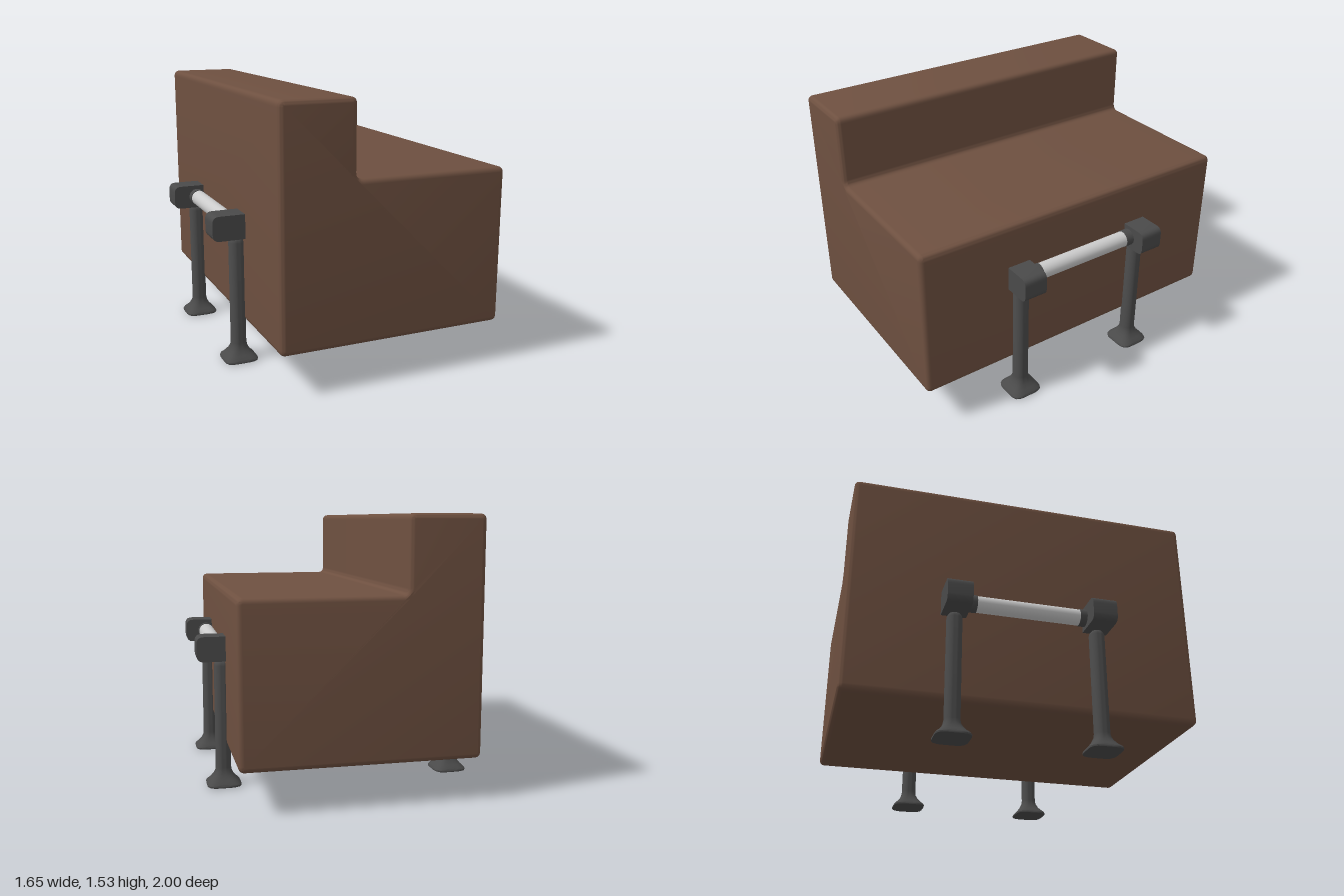
import * as THREE from 'three';
import { toCreasedNormals, mergeVertices } from 'three/addons/utils/BufferGeometryUtils.js';

const brown = new THREE.MeshStandardMaterial({ color: 0x6e5040 });
const dark = new THREE.MeshStandardMaterial({ color: 0x4a4a4a });
const grey = new THREE.MeshStandardMaterial({ color: 0xcccccc });

function add(parent, name, geometry, material, x = 0, y = 0, z = 0) {
  const mesh = new THREE.Mesh(geometry, material);
  mesh.name = name;
  mesh.position.set(x, y, z);
  parent.add(mesh);
  return mesh;
}

// Closed outline through corner points, every corner rounded by radius r
function roundedShape(points, r) {
  const shape = new THREE.Shape();
  const pts = points.map(([x, y]) => new THREE.Vector2(x, y));
  const n = pts.length;
  pts.forEach((p, i) => {
    const toward = (q) => q.clone().sub(p).setLength(r).add(p);
    const a = toward(pts[(i + n - 1) % n]);
    const b = toward(pts[(i + 1) % n]);
    if (i === 0) shape.moveTo(a.x, a.y);
    else shape.lineTo(a.x, a.y);
    shape.quadraticCurveTo(p.x, p.y, b.x, b.y);
  });
  shape.closePath();
  return shape;
}

// L-shaped upholstered block, extruded along z with soft edges
function bodyGeometry() {
  const shape = roundedShape([
    [-0.64, 0.23], [0.665, 0.23], [0.665, 1.115],
    [-0.22, 1.115], [-0.22, 1.53], [-0.64, 1.53],
  ], 0.035);
  const b = 0.027;
  const g = new THREE.ExtrudeGeometry(shape, {
    depth: 2 - 2 * b, bevelThickness: b, bevelSize: b, bevelOffset: -b,
    bevelSegments: 5, curveSegments: 6,
  });
  g.translate(0, 0, -1 + b);
  return toCreasedNormals(g, 0.7);
}

// Leg lofted from a rounded-square foot up to a round post: [y, half width, squareness]
function legGeometry() {
  const rings = [
    [0, 0.001, 4.5], [0, 0.088, 4.5], [0.004, 0.096, 4.5], [0.012, 0.097, 4.5],
    [0.02, 0.092, 4.5], [0.038, 0.073, 4], [0.06, 0.057, 3.2], [0.082, 0.047, 2.5],
    [0.105, 0.0435, 2.2], [0.69, 0.0435, 2.2], [0.705, 0.039, 2.2],
    [0.716, 0.03, 2.2], [0.72, 0.018, 2.2], [0.72, 0.001, 2.2],
  ];
  const sides = 32, pos = [], index = [];
  rings.forEach(([y, w, power], j) => {
    for (let i = 0; i < sides; i++) {
      const a = (i / sides) * Math.PI * 2, c = Math.cos(a), s = Math.sin(a);
      const r = w / Math.pow(Math.abs(c) ** power + Math.abs(s) ** power, 1 / power);
      pos.push(r * c, y, r * s);
      if (j === rings.length - 1) continue;
      const k = (i + 1) % sides, lo = j * sides, hi = lo + sides;
      index.push(lo + i, hi + i, lo + k, lo + k, hi + i, hi + k);
    }
  });
  const g = new THREE.BufferGeometry();
  g.setAttribute('position', new THREE.Float32BufferAttribute(pos, 3));
  g.setIndex(index);
  return toCreasedNormals(mergeVertices(g), 0.75);
}

// Bracket: rounded block reaching out of the body, flat on its z faces
function bracketGeometry() {
  const shape = roundedShape([[0.6, -0.07], [0.825, -0.07], [0.825, 0.07], [0.6, 0.07]], 0.04);
  const g = new THREE.ExtrudeGeometry(shape, { depth: 0.14, bevelEnabled: false, curveSegments: 6 });
  g.translate(0, 0, -0.07);
  return toCreasedNormals(g, 0.6);
}

export function createModel() {
  const model = new THREE.Group();
  model.name = 'bench';
  add(model, 'upholsteredBody', bodyGeometry(), brown);

  const leg = legGeometry();
  const bracket = bracketGeometry();
  const bar = new THREE.CylinderGeometry(0.046, 0.046, 0.6, 32).rotateX(Math.PI / 2);
  const collar = new THREE.CylinderGeometry(0.049, 0.049, 0.05, 32).rotateX(Math.PI / 2);

  for (const side of [1, -1]) {
    const frame = new THREE.Group();
    frame.name = side > 0 ? 'leftFrame' : 'rightFrame';
    model.add(frame);
    const barX = side * 0.693 + 0.01;
    add(frame, 'armBar', bar, grey, barX, 0.79, 0);
    for (const end of [1, -1]) {
      const z = end * 0.409 - 0.004;
      add(frame, 'leg', leg, dark, side * 0.677 + 0.005, 0, z);
      const b = add(frame, 'bracket', bracket, dark, 0, 0.79, z);
      if (side < 0) b.rotation.y = Math.PI;
      add(frame, 'collar', collar, dark, barX, 0.79, end * 0.321);
    }
  }
  return model;
}
